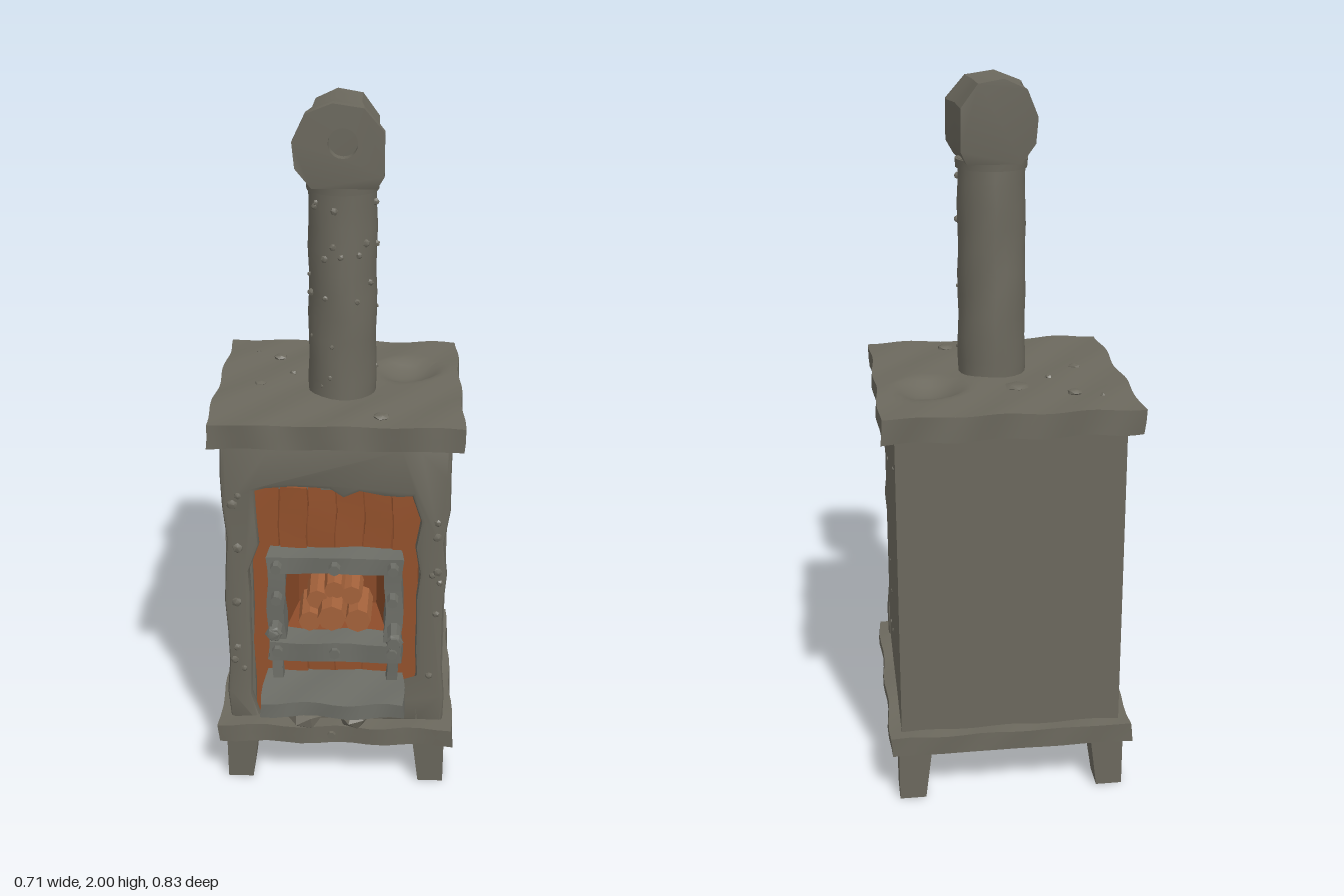
import * as THREE from 'three';
import { toCreasedNormals } from 'three/addons/utils/BufferGeometryUtils.js';

const mat = (name, color, side = THREE.FrontSide) => {
  const m = new THREE.MeshStandardMaterial({ color, side });
  m.name = name;
  return m;
};

export function createModel() {
  const stone = mat('weathered stone', 0x6b685d);
  const iron = mat('worn iron', 0x6c6d66);
  const plank = mat('rusty plank', 0x93512c);
  const ember = mat('firebox rust', 0x8a4a28, THREE.DoubleSide);
  const wood = mat('log wood', 0xa4623b);
  const model = new THREE.Group();
  model.name = 'stove';

  let seed = 7;
  const rand = () => (seed = (seed * 16807) % 2147483647) / 2147483647;

  // Continuous wobble, so shared corners stay closed
  const reshape = (geo, fn) => {
    const p = geo.attributes.position, v = new THREE.Vector3();
    for (let i = 0; i < p.count; i++) {
      fn(v.fromBufferAttribute(p, i));
      p.setXYZ(i, v.x, v.y, v.z);
    }
    return geo;
  };
  const wobble = (geo, a) => reshape(geo, (v) => {
    const { x, y, z } = v;
    v.x += a * Math.sin(31 * y + 23 * z + 9 * x);
    v.y += a * 0.7 * Math.sin(27 * x + 19 * z + 2);
    v.z += a * Math.sin(29 * x + 17 * y + 1);
  });
  const add = (name, geo, material, parent = model) => {
    const mesh = new THREE.Mesh(toCreasedNormals(geo, 0.6), material);
    mesh.name = name;
    parent.add(mesh);
    return mesh;
  };
  // Box given by its limits
  const box = (x0, x1, y0, y1, z0, z1, sx = 1, sy = 1, sz = 1) =>
    new THREE.BoxGeometry(x1 - x0, y1 - y0, z1 - z0, sx, sy, sz)
      .translate((x0 + x1) / 2, (y0 + y1) / 2, (z0 + z1) / 2);
  const chip = (name, x, y, z, sx, sy, sz, material = stone) =>
    add(name, new THREE.IcosahedronGeometry(1, 0).rotateY(x * 40).rotateX(y * 9)
      .scale(sx, sy, sz).translate(x, y, z), material);
  const rod = (name, x, y, z0, z1, r, n, material) =>
    add(name, new THREE.CylinderGeometry(r * 0.9, r, z1 - z0, n).rotateX(Math.PI / 2)
      .translate(x, y, (z0 + z1) / 2), material);

  // Top slab with a shallow round dent
  const top = wobble(box(-0.352, 0.352, 1.1, 1.17, -0.41, 0.298, 32, 2, 32), 0.004);
  reshape(top, (v) => {
    const d = Math.hypot(v.x - 0.2, v.z + 0.16) / 0.1;
    if (v.y > 1.15 && d < 1) v.y -= 0.03 * (1 - d * d);
  });
  add('topSlab', top, stone);
  [[-0.19, -0.25, 0.022], [-0.14, -0.11, 0.013], [-0.04, -0.18, 0.037],
    [-0.23, -0.02, 0.02], [0.125, 0.22, 0.025], [-0.26, -0.29, 0.008]]
    .forEach(([x, z, r]) => chip('topChip', x, 1.171, z, r, 0.01, r));

  // Base slab and legs
  add('baseSlab', wobble(box(-0.347, 0.347, 0.15, 0.207, -0.407, 0.305, 14, 2, 14), 0.004), stone);
  for (const s of [-1, 1]) {
    const leg = (z0, z1, inset) => reshape(box(0.23, 0.325, 0, 0.16, z0, z1, 1, 3, 1), (v) => {
      const k = 1 - v.y / 0.16;
      if (v.x < 0.28) v.x += 0.02 * k;
      if (v.z > (z0 + z1) / 2) v.z -= inset * k;
      v.x *= s;
    });
    for (const [name, z0, z1, inset] of [['frontLeg', 0.155, 0.283, 0.01], ['backLeg', -0.393, -0.265, 0.045]]) {
      const g = leg(z0, z1, inset);
      if (s < 0) { // mirrored faces need reversed corners
        const a = g.index.array;
        for (let i = 0; i < a.length; i += 3) [a[i], a[i + 1]] = [a[i + 1], a[i]];
      }
      add(name, g, stone);
    }
  }

  // Body: solid rear, hollow front shell, ragged stone surround
  add('bodyRear', box(-0.315, 0.315, 0.2, 1.11, -0.37, 0.08), stone);
  const ring = (outer, inner, z, depth, rag) => {
    const loop = (w, y0, y1, a) => {
      const pts = [], n = 9;
      const corner = [[-w, y0], [w, y0], [w, y1], [-w, y1]];
      corner.forEach(([x, y], i) => {
        const [X, Y] = corner[(i + 1) % 4];
        for (let k = 0; k < n; k++) {
          pts.push(new THREE.Vector2(x + (X - x) * k / n + (rand() - 0.5) * a,
            y + (Y - y) * k / n + (i % 2 ? 0 : (rand() - 0.5) * a)));
        }
      });
      return pts;
    };
    const shape = new THREE.Shape(loop(outer, 0.19, 1.105, rag));
    shape.holes.push(new THREE.Path(loop(inner, 0.2, 0.95, rag * 1.6)));
    return new THREE.ExtrudeGeometry(shape, rag
      ? { depth, bevelSize: 0.012, bevelThickness: 0.012, bevelOffset: -0.012, bevelSegments: 2 }
      : { depth, bevelEnabled: false }).translate(0, 0, z);
  };
  add('bodyShell', ring(0.315, 0.24, 0.08, 0.15, 0), stone);
  add('stoneSurround', ring(0.318, 0.232, 0.225, 0.02, 0.022), stone);

  // Planks, split around the firebox opening
  for (let i = 0; i < 6; i++) {
    const x = -0.24 + i * 0.08, z = 0.228 + 0.012 * rand();
    const spans = i === 0 || i === 5 ? [[0.2, 0.96]] : [[0.2, 0.49], [0.73, 0.96]];
    for (const [y0, y1] of spans)
      add('plank', wobble(box(x + 0.002, x + 0.078, y0, y1, 0.18, z, 1, 6, 1), 0.003), plank);
  }
  add('plankBacking', box(-0.24, 0.24, 0.2, 0.48, 0.09, 0.2), ember);
  add('plankBackingTop', box(-0.24, 0.24, 0.74, 0.95, 0.09, 0.2), ember);

  // Firebox: tapered open recess
  const recess = reshape(box(-0.155, 0.155, 0.485, 0.735, 0.1, 0.25), (v) => {
    if (v.z < 0.2) { v.x *= 0.75; v.y = 0.61 + (v.y - 0.61) * 0.75; }
  });
  recess.setIndex([...recess.index.array].filter((_, i) => i < 24 || i >= 30));
  add('firebox', recess, ember);
  [[-0.01, 0.56, 0.275, 0.045], [-0.075, 0.535, 0.25, 0.036], [0.065, 0.54, 0.25, 0.042],
    [-0.055, 0.59, 0.22, 0.034], [0.045, 0.6, 0.21, 0.034], [-0.005, 0.622, 0.22, 0.032]]
    .forEach(([x, y, z, r]) => rod('log', x, y, 0.11, z, r, 8, wood));

  // Door frame
  const door = new THREE.Group();
  door.name = 'doorFrame';
  model.add(door);
  const bar = (name, ...limits) => add(name, wobble(box(...limits), 0.004), iron, door);
  bar('topRail', -0.19, 0.19, 0.72, 0.77, 0.23, 0.3, 8, 1, 1);
  bar('bottomRail', -0.19, 0.195, 0.44, 0.5, 0.23, 0.315, 8, 2, 2);
  for (const s of [-1, 1]) {
    bar('sideRail', s * 0.168 - 0.025, s * 0.168 + 0.025, 0.43, 0.765, 0.23, 0.295, 1, 8, 1);
    bar('shelfStrut', s * 0.165 - 0.015, s * 0.165 + 0.015, 0.34, 0.45, 0.25, 0.28, 1, 4, 1);
    for (const y of [0.745, 0.645, 0.475]) rod('rivet', s * 0.165, y, 0.28, 0.33, 0.017, 7, iron);
    rod('knob', s * 0.17, 0.545, 0.28, s > 0 ? 0.385 : 0.35, 0.02, 7, iron);
    chip('knobHead', s * 0.172, 0.545, s > 0 ? 0.37 : 0.34, 0.026, 0.026, 0.016, iron);
  }
  for (const y of [0.745, 0.472]) rod('rivet', 0, y, 0.28, 0.328, 0.018, 7, iron);

  // Ash shelf and rubble below it
  add('shelf', wobble(box(-0.205, 0.2, 0.315, 0.36, 0.23, 0.413, 10, 1, 4), 0.005), iron);
  chip('rubble', -0.09, 0.225, 0.28, 0.05, 0.035, 0.045);
  chip('rubble', 0.055, 0.23, 0.28, 0.045, 0.035, 0.045);
  rod('baseRivet', -0.01, 0.18, 0.3, 0.312, 0.013, 7, stone);

  // Chimney pipe with collar and chips
  const pipe = new THREE.CylinderGeometry(0.095, 0.097, 0.63, 20, 10).translate(0.01, 1.465, 0);
  add('pipe', wobble(pipe, 0.002), stone);
  add('pipeCollar', new THREE.CylinderGeometry(0.102, 0.1, 0.025, 20).translate(0.01, 1.765, 0), stone);
  for (let i = 0; i < 22; i++) {
    const a = (rand() - 0.5) * 3.2, r = 0.006 + 0.006 * rand();
    chip('pipeChip', 0.01 + 0.096 * Math.sin(a), 1.2 + 0.53 * rand(), 0.096 * Math.cos(a), r, r, r * 0.6);
  }

  // Chimney cap: faceted block with a blind round hole
  const outline = [[-0.07, 1.775], [0.105, 1.775], [0.125, 1.81], [0.125, 1.925], [0.07, 1.988],
    [-0.012, 2], [-0.085, 1.972], [-0.12, 1.9], [-0.113, 1.83]].map(([x, y]) => new THREE.Vector2(x, y));
  const cap = (z, depth, hole) => {
    const shape = new THREE.Shape(outline);
    if (hole) shape.holes.push(new THREE.Path().absarc(0.015, 1.897, 0.04, 0, Math.PI * 2, true));
    const g = new THREE.ExtrudeGeometry(shape, { depth, steps: 3, bevelEnabled: false, curveSegments: 10 });
    return reshape(g.translate(0, 0, z), (v) => {
      if (v.z < 0.08) v.x = 0.012 + (v.x - 0.012) * (0.86 - 0.12 * v.z / 0.13 * -0.1);
      if (v.y < 1.8) v.z *= 0.9;
    });
  };
  add('capBody', cap(-0.132, 0.222, false), stone);
  add('capFront', cap(0.09, 0.035, true), stone);

  // Chips on the walls
  for (const s of [-1, 1])
    for (let i = 0; i < 7; i++) {
      const r = 0.006 + 0.005 * rand();
      chip('wallChip', s * 0.315, 0.3 + 0.75 * rand(), -0.3 + 0.5 * rand(), 0.004, r, r);
      chip('frontChip', s * (0.27 + 0.03 * rand()), 0.28 + 0.72 * rand(), 0.257, r * 1.6, r * 1.6, 0.008);
    }
  return model;
}
